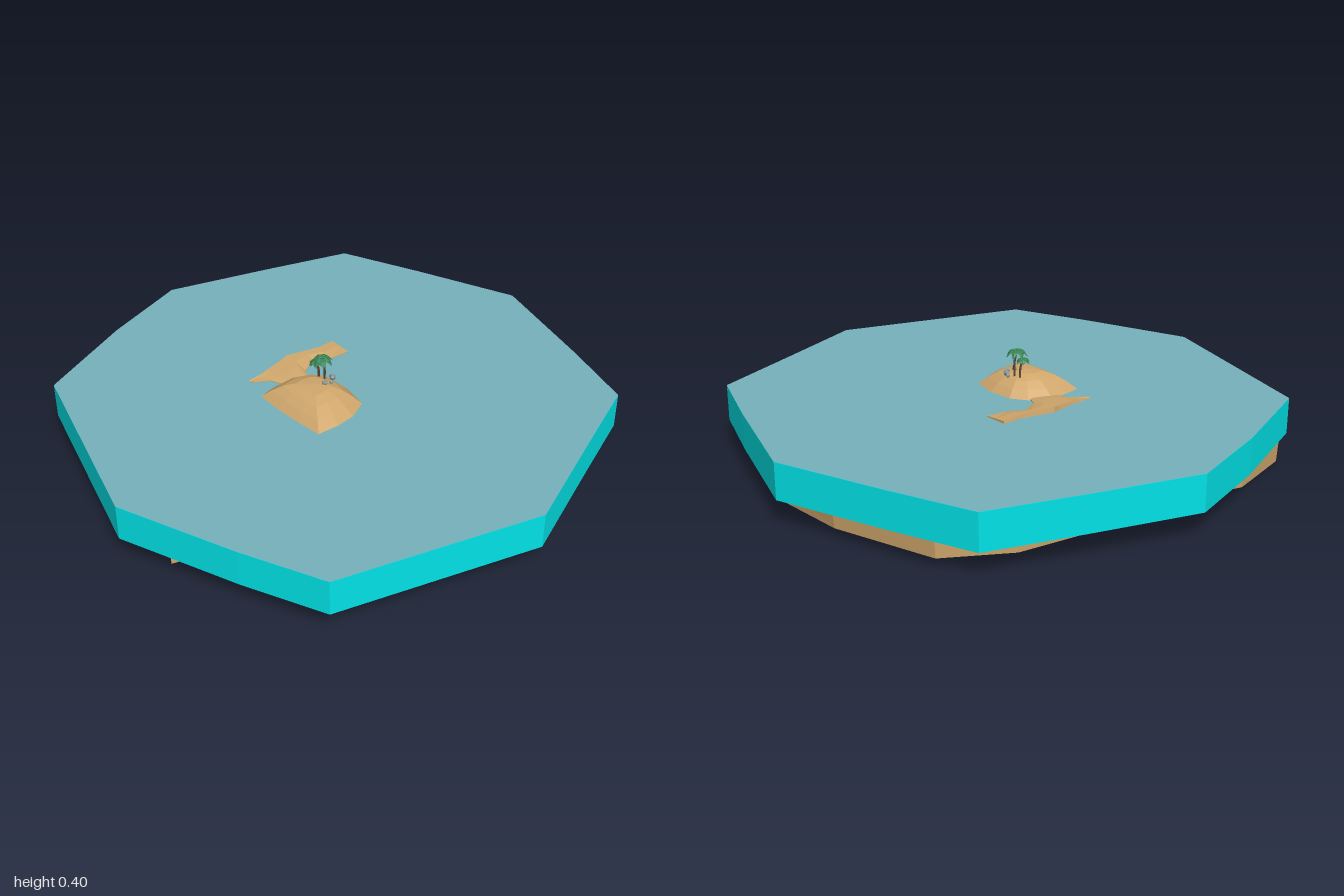
import * as THREE from 'three';

const flat = (name, color, side = THREE.FrontSide) => {
  const m = new THREE.MeshStandardMaterial({ color, side });
  m.name = name;
  m.flatShading = true;
  return m;
};

// Joins cross-sections of equal length into a surface
function loft(rings, closed = true, caps = false) {
  const n = rings[0].length, index = [];
  for (let r = 0; r < rings.length - 1; r++) {
    for (let i = 0; i < (closed ? n : n - 1); i++) {
      const a = r * n + i, b = r * n + (i + 1) % n;
      index.push(a, b, b + n, a, b + n, a + n);
    }
  }
  if (caps) {
    const last = (rings.length - 1) * n;
    for (let i = 1; i < n - 1; i++) index.push(0, i + 1, i, last, last + i, last + i + 1);
  }
  const g = new THREE.BufferGeometry();
  g.setAttribute('position', new THREE.Float32BufferAttribute(rings.flat(2), 3));
  g.setIndex(index);
  g.computeVertexNormals();
  return g;
}

export function createModel() {
  const model = new THREE.Group();
  model.name = 'island';
  const sand = flat('sand', 0xd0a76c, THREE.DoubleSide);
  const water = flat('water', 0x00e6ea);
  const surface = flat('waterSurface', 0x76b2bd);
  const bark = flat('bark', 0x5c4630);
  const leaf = flat('leaf', 0x378253, THREE.DoubleSide);
  const stone = flat('stone', 0x8a9a98);

  const add = (name, geo, mat, parent = model) => {
    const m = new THREE.Mesh(geo, mat);
    m.name = name;
    parent.add(m);
    return m;
  };

  // Water slab with a separate surface sheet
  const shore = [[0, -1], [0.445, -0.85], [0.74, -0.74], [0.86, -0.4], [1, -0.01], [0.75, 0.73],
    [0.445, 0.85], [-0.005, 1], [-0.745, 0.75], [-0.9, 0.35], [-1, 0], [-0.86, -0.4],
    [-0.735, -0.74], [-0.41, -0.86]];
  const shape = new THREE.Shape(shore.map(([x, z]) => new THREE.Vector2(x, -z)));
  const slab = new THREE.ExtrudeGeometry(shape, { depth: 0.138, bevelEnabled: false });
  add('waterBody', slab.rotateX(-Math.PI / 2).translate(0, 0.101, 0), water);
  add('waterSurface', new THREE.ShapeGeometry(shape).rotateX(-Math.PI / 2).translate(0, 0.24, 0), surface);

  // Seabed sheet: from an eight-sided rim up to the opening in the middle
  const rim = [[0.485, 0.08, 0.46], [0.65, 0.085, -0.06], [0.56, 0.075, -0.49], [0.08, 0.05, -0.74],
    [-0.386, 0.05, -0.57], [-0.59, 0.05, -0.13], [-0.48, 0.045, 0.38], [-0.03, 0.035, 0.59]];
  const hole = [[0.3, 0.12], [0.32, -0.05], [0.27, -0.18], [0.05, -0.29],
    [-0.13, -0.29], [-0.15, -0.1], [-0.12, 0.03], [0.05, 0.1]];
  const between = (t, ys) => rim.map(([x, , z], i) =>
    [x + (hole[i][0] - x) * t, ys[i], z + (hole[i][1] - z) * t]);
  add('seabed', loft([rim,
    between(0.4, [0.07, 0.07, 0.08, 0.05, 0.055, 0.04, 0.045, 0.035]),
    between(0.7, [0.05, 0.085, 0.06, 0.08, 0.035, 0.05, 0.03, 0.04]),
    between(1, Array(8).fill(0.106))]), sand);

  // Outer reef: a ridge swept along a path of x, z and lowest y
  const path = [[0.45, 0.735, 0.085], [0.7, 0.52, 0.045], [0.77, -0.04, 0.05], [0.735, -0.47, 0.045],
    [0.51, -0.75, 0.07], [0.16, -0.85, 0.018], [-0.19, -0.86, 0.04], [-0.55, -0.745, 0.035],
    [-0.68, -0.55, 0.04], [-0.755, -0.22, 0.05], [-0.755, 0.1, 0.045], [-0.765, 0.42, 0],
    [-0.71, 0.67, 0], [-0.414, 0.77, 0.012], [-0.15, 0.75, 0.035], [0.08, 0.8, 0.025],
    [0.17, 0.86, 0.022]];
  const reef = path.map(([x, z, y], i) => {
    const p = path[Math.max(i - 1, 0)], q = path[Math.min(i + 1, path.length - 1)];
    const d = new THREE.Vector2(q[0] - p[0], q[1] - p[1]).normalize();
    const at = (s, h) => [x - d.y * s, h, z + d.x * s];
    return [at(-0.075, 0.112), at(0.052, 0.112), at(0.046, y), at(-0.02, y + 0.015)];
  });
  add('outerReef', loft(reef, true, true), sand);

  // Island hill: the shoreline shrinks towards a rounded top
  const outline = [[-0.07, -0.03], [0.03, -0.035], [0.13, -0.01], [0.165, 0.07], [0.17, 0.15],
    [0.16, 0.235], [0.06, 0.24], [-0.05, 0.24], [-0.16, 0.23], [-0.17, 0.16], [-0.17, 0.09], [-0.13, 0.01]];
  const level = (s, y) => outline.map(([x, z]) => [x * s - 0.01 * (1 - s), y, 0.1 + (z - 0.1) * s]);
  add('hill', loft([level(1.1, 0.2), level(1, 0.24), level(0.8, 0.268), level(0.58, 0.292),
    level(0.33, 0.307), level(0.001, 0.311)]), sand);

  // Sand spit beside the hill: z, outer x, inner x, crest height
  const spit = [[-0.21, -0.25, -0.155, 0.25], [-0.13, -0.25, -0.165, 0.255], [-0.07, -0.265, -0.2, 0.258],
    [0, -0.285, -0.17, 0.26], [0.03, -0.278, -0.11, 0.257], [0.11, -0.27, -0.13, 0.252],
    [0.14, -0.268, -0.21, 0.248], [0.2, -0.27, -0.25, 0.243]];
  add('sandSpit', loft(spit.map(([z, a, b, y]) =>
    [[a, 0.225, z], [a + 0.006, y, z], [a + (b - a) * 0.5, y - 0.003, z], [b, 0.243, z], [b, 0.225, z]]),
  true, true), sand);

  // Palms: a bent trunk and a crown of drooping, folded fronds
  function palm(name, base, top, reach, count) {
    const tree = new THREE.Group();
    tree.name = name;
    model.add(tree);
    const a = new THREE.Vector3(...base), b = new THREE.Vector3(...top);
    const mid = a.clone().lerp(b, 0.5).add(new THREE.Vector3(0.004, 0, -0.003));
    add('trunk', new THREE.TubeGeometry(new THREE.CatmullRomCurve3([a, mid, b]), 5, 0.0042, 6), bark, tree);
    for (let i = 0; i < count; i++) {
      const stations = [[0, 0, 0.003], [0.35, 0.14, 0.011], [0.7, 0, 0.011], [1, -0.45, 0.002]];
      const g = loft(stations.map(([t, h, w]) =>
        [[t * reach, h * reach - 0.004, -w], [t * reach, h * reach, 0], [t * reach, h * reach - 0.004, w]]), false);
      const frond = add('frond', g, leaf, tree);
      frond.position.copy(b);
      frond.rotation.y = i / count * Math.PI * 2 + 0.3;
    }
  }
  palm('tallPalm', [-0.02, 0.295, 0.04], [-0.02, 0.395, 0.05], 0.04, 7);
  palm('shortPalm', [-0.045, 0.295, 0.045], [-0.05, 0.37, 0.055], 0.026, 6);

  // Small stones on the hilltop
  [[0.015, 0.312, 0.07, 0.011], [0.005, 0.31, 0.02, 0.012], [0.024, 0.307, 0.045, 0.008],
    [-0.01, 0.303, 0.015, 0.009]].forEach(([x, y, z, r], i) => {
    const s = add('stone', new THREE.DodecahedronGeometry(r), stone);
    s.position.set(x, y, z);
    s.rotation.set(i, i * 1.7, 0);
  });
  return model;
}
